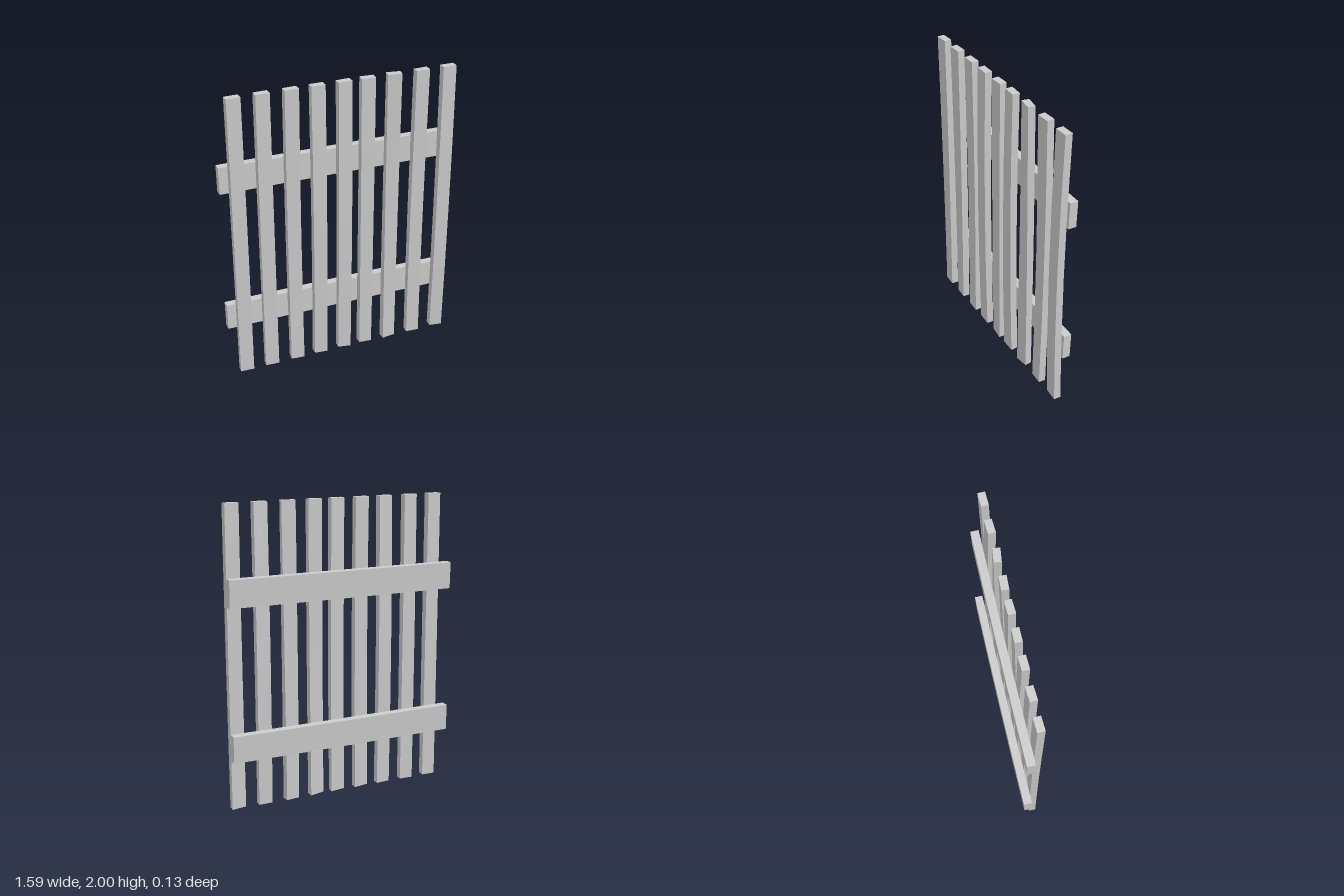
import * as THREE from 'three';

const material = new THREE.MeshStandardMaterial({ color: 0xcccccc, flatShading: true });

// Weathered timber: a box that bows and twists along its length (local y)
function timber(width, length, depth, { bow = 0, side = 0, twist = 0, skew = 0 } = {}) {
  const geo = new THREE.BoxGeometry(width, length, depth, 1, 4, 1);
  const p = geo.attributes.position;
  for (let i = 0; i < p.count; i++) {
    const t = p.getY(i) / (length / 2);
    const bend = 1 - t * t;
    const a = twist * t;
    const x = p.getX(i), z = p.getZ(i);
    p.setXYZ(i,
      x * Math.cos(a) + z * Math.sin(a) + side * bend,
      // bottom end is cut slightly out of square
      p.getY(i) + (t < -0.99 ? skew * (0.5 - x / width) : 0),
      z * Math.cos(a) - x * Math.sin(a) + bow * bend);
  }
  geo.computeVertexNormals();
  return geo;
}

export function createModel() {
  const group = new THREE.Group();
  const add = (name, geo, x, y, z) => {
    const mesh = new THREE.Mesh(geo, material);
    mesh.name = name;
    mesh.position.set(x, y, z);
    group.add(mesh);
    return mesh;
  };

  // Upright planks: x centre, forward bow, sideways bow, twist, end skew
  const planks = [
    [-0.69, -0.003, 0.002, 0.05, 0],
    [-0.508, -0.004, 0, 0.06, 0],
    [-0.322, -0.008, -0.002, 0.03, 0.004],
    [-0.15, 0.012, 0, 0, 0.008],
    [0.027, 0.004, 0.003, 0.05, 0.01],
    [0.185, 0.011, -0.003, -0.05, 0.01],
    [0.366, -0.004, 0, -0.13, 0],
    [0.558, -0.01, 0, 0.05, 0.002],
    [0.746, 0.014, -0.003, 0.03, 0.008],
  ];
  planks.forEach(([x, bow, side, twist, skew], i) =>
    add(`plank${i + 1}`, timber(0.093, 2, 0.048, { bow, side, twist, skew }), x, 1, 0.024));

  // Two horizontal rails behind the planks, leaning back a little
  [['lowerRail', 0.43], ['upperRail', 1.445]].forEach(([name, y]) => {
    const geo = timber(0.18, 1.59, 0.055, { bow: -0.004 });
    geo.rotateZ(Math.PI / 2);
    geo.rotateX(-0.03);
    add(name, geo, 0, y, -0.03);
  });

  return group;
}
